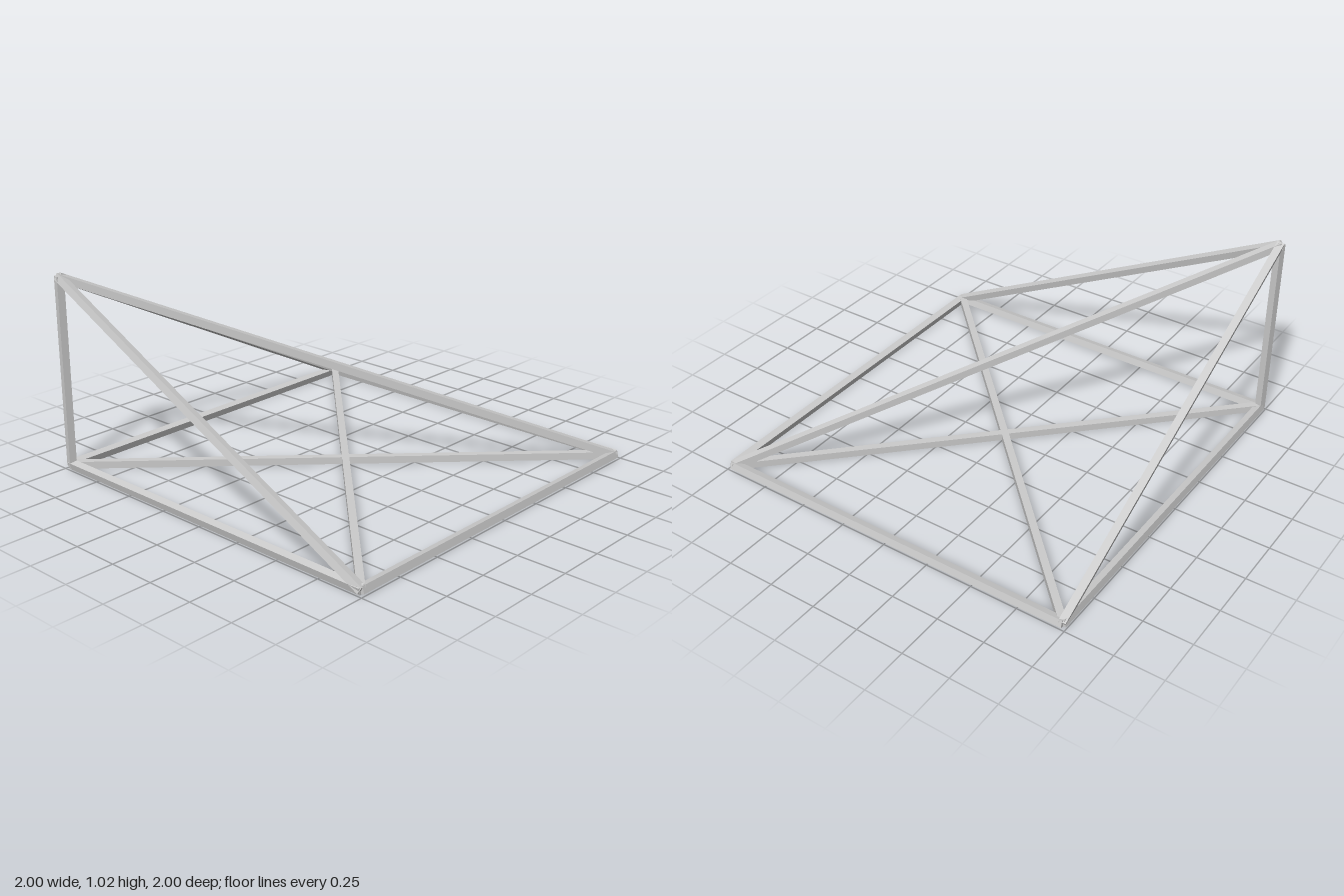
import * as THREE from 'three';

export function createModel() {
  const group = new THREE.Group();
  const material = new THREE.MeshStandardMaterial({ color: 0xcccccc, flatShading: true });
  const R = 0.976, LOW = 0.027, HIGH = 1.004, SIDE = 0.037;
  const v = (x, y, z) => new THREE.Vector3(x, y, z);

  // Four base corners and the apex above the back right corner
  const corners = {
    BackRight: v(-R, LOW, -R),
    BackLeft: v(R, LOW, -R),
    FrontLeft: v(R, LOW, R),
    FrontRight: v(-R, LOW, R),
    Apex: v(-R, HIGH, -R),
  };

  // Square bar between two points, rolled a little about its own axis
  function addBar(name, a, b, roll) {
    const dir = b.clone().sub(a);
    const bar = new THREE.Mesh(new THREE.BoxGeometry(SIDE, SIDE, dir.length() + 0.012), material);
    bar.name = name;
    bar.position.copy(a).add(b).multiplyScalar(0.5);
    if (Math.abs(dir.x) + Math.abs(dir.z) < 1e-6) bar.rotation.x = Math.PI / 2;
    else bar.lookAt(b);
    bar.rotateZ(roll);
    group.add(bar);
  }

  // Every pair of corners is joined: base sides, crossing diagonals, post and sloping bars
  const names = Object.keys(corners);
  names.forEach((a, i) => {
    for (const b of names.slice(i + 1)) {
      const p = corners[a], q = corners[b];
      const diagonal = p.x !== q.x && p.z !== q.z;
      addBar('bar' + a + 'To' + b, p, q, diagonal ? 0 : 0.25);
    }
  });
  return group;
}
